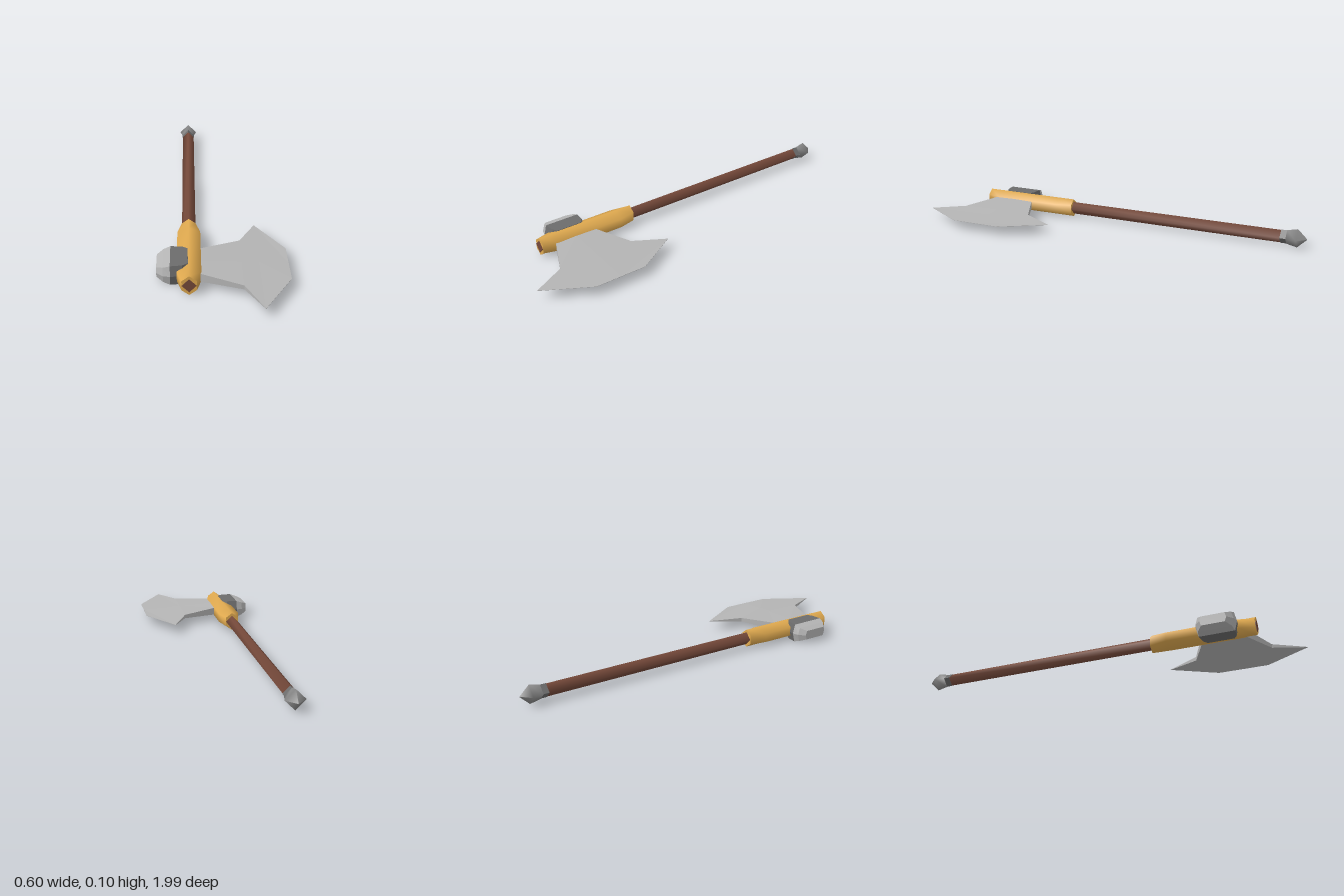
import * as THREE from 'three';

const mat = (name, color, flat = false) => {
  const m = new THREE.MeshStandardMaterial({ color });
  m.name = name;
  m.flatShading = flat;
  return m;
};

const SHAFT_X = -0.155, MID_Y = 0.052, HEAD_Z = 0.632;

// Skins a row of convex rings (counter-clockwise about the direction of travel) and caps both ends.
function loft(rings) {
  const n = rings[0].length, pos = [], idx = [];
  rings.forEach(r => r.forEach(p => pos.push(...p)));
  for (let i = 0; i < rings.length - 1; i++) {
    for (let j = 0; j < n; j++) {
      const k = (j + 1) % n;
      const a = i * n + j, b = i * n + k, c = a + n, d = b + n;
      idx.push(a, b, d, a, d, c);
    }
  }
  const cap = (ring, flip) => {
    const s = pos.length / 3;
    ring.forEach(p => pos.push(...p));
    for (let j = 1; j < n - 1; j++) {
      idx.push(s, flip ? s + j + 1 : s + j, flip ? s + j : s + j + 1);
    }
  };
  cap(rings[0], true);
  cap(rings[rings.length - 1], false);
  const g = new THREE.BufferGeometry();
  g.setAttribute('position', new THREE.Float32BufferAttribute(pos, 3));
  g.setIndex(idx);
  g.computeVertexNormals();
  return g;
}

// Ring shapes
const diamond = (z, r) => [[r, 0, z], [0, r, z], [-r, 0, z], [0, -r, z]];
const socketRing = (z, w) => {
  const h = 0.048, s = 0.023;
  return [[w, -s, z], [w, s, z], [0, h, z], [-w, s, z], [-w, -s, z], [0, -h, z]];
};
const hammerRing = (x, h, d) => {
  const e = d * 0.88;
  return [[x, h, -e], [x, h, e], [x, 0, d], [x, -h, e], [x, -h, -e], [x, 0, -d]];
};
const bladeRing = (x, d, edge, mid) =>
  [[x, edge, -d], [x, mid, 0], [x, edge, d], [x, -edge, d], [x, -mid, 0], [x, -edge, -d]];

export function createModel() {
  const model = new THREE.Group();
  model.name = 'battleAxe';
  const wood = mat('brown wood', 0x75493a);
  const gold = mat('gold', 0xdfa94f);
  const iron = mat('grey iron', 0x8a8a8a);
  const darkIron = mat('dark iron', 0x6c6c6c, true);
  const steel = mat('light steel', 0xb4b4b4, true);

  const add = (name, rings, material, x, z) => {
    const m = new THREE.Mesh(loft(rings), material);
    m.name = name;
    m.position.set(x, MID_Y, z);
    model.add(m);
  };

  // Square shaft running through the head
  add('shaft', [diamond(-0.9, 0.033), diamond(0.808, 0.033)], wood, SHAFT_X, 0);

  // Pommel: collar and pointed knob
  add('pommelCollar', [diamond(-0.905, 0.035), diamond(-0.87, 0.035)], darkIron, SHAFT_X, 0);
  add('pommelKnob', [diamond(-1, 0.002), diamond(-0.953, 0.048), diamond(-0.9, 0.036)],
    iron, SHAFT_X, 0);

  // Gold socket with tapered ends
  add('socket', [[0.282, 0.034], [0.37, 0.055], [0.73, 0.055], [0.806, 0.034]]
    .map(([z, w]) => socketRing(z, w)), gold, SHAFT_X, 0);

  // Hammer behind the blade
  add('hammerFace', [[-0.302, 0.024, 0.065], [-0.272, 0.037, 0.093], [-0.24, 0.048, 0.101]]
    .map(r => hammerRing(...r)), steel, 0, HEAD_Z);
  add('hammerNeck', [[-0.24, 0.048, 0.101], [-0.185, 0.048, 0.094], [-0.16, 0.048, 0.075]]
    .map(r => hammerRing(...r)), darkIron, 0, HEAD_Z);

  // Flared blade thinning to its cutting edge
  add('blade', [
    [-0.14, 0.1, 0.021, 0.025],
    [-0.1, 0.113, 0.02, 0.023],
    [0.085, 0.196, 0.01, 0.013],
    [0.165, 0.361, 0.0008, 0.008],
    [0.299, 0.132, 0.0006, 0.0008],
  ].map(r => bladeRing(...r)), steel, 0, HEAD_Z);

  return model;
}
